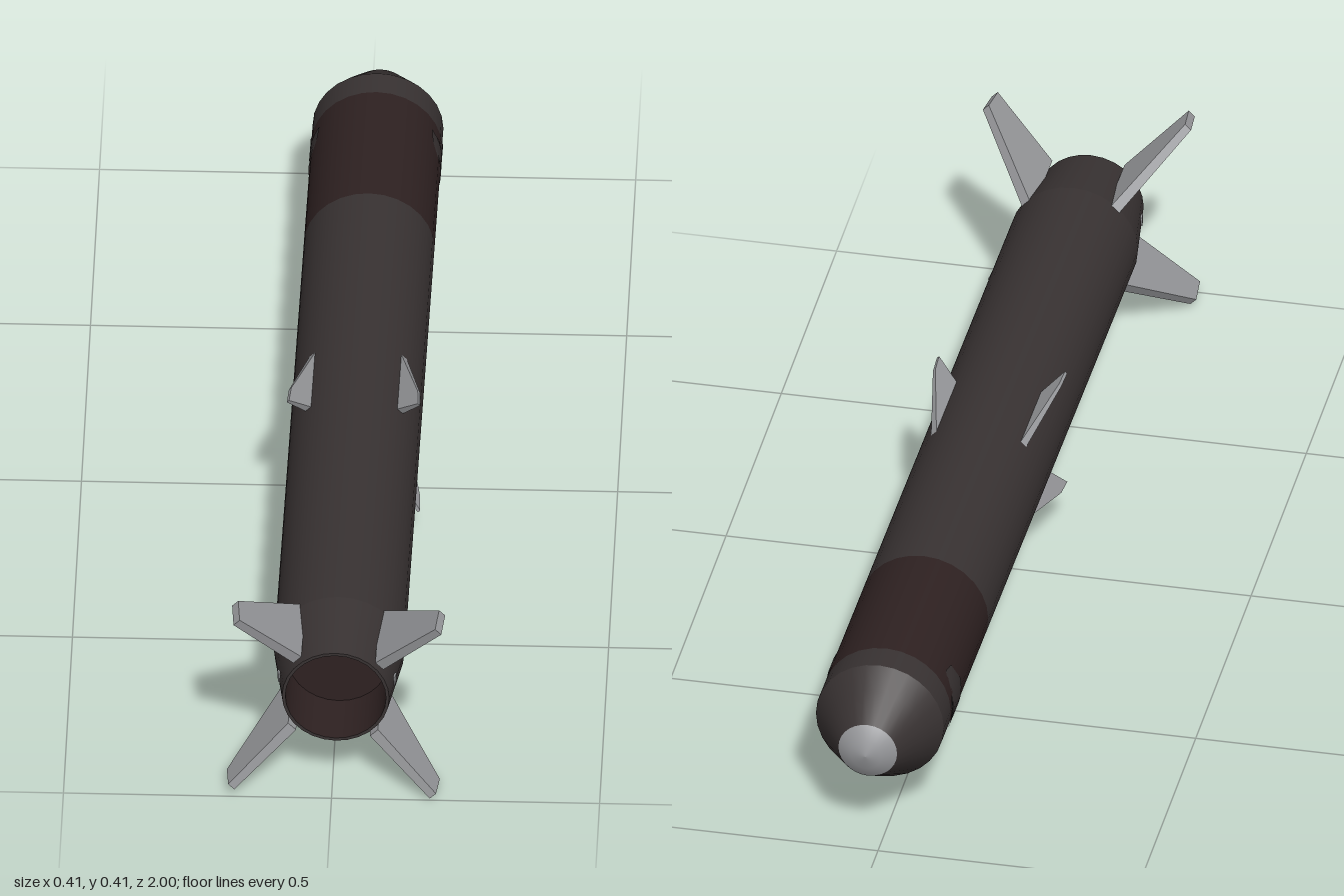
import * as THREE from 'three';

const SIDES = 28;
const R = 0.122; // body radius

export function createModel() {
  const mat = (name, color, side = THREE.FrontSide) => {
    const m = new THREE.MeshStandardMaterial({ color, side });
    m.name = name;
    return m;
  };
  const bodyMat = mat('dark casing', 0x383232);
  const bandMat = mat('brown band', 0x2e2121);
  const greyMat = mat('fin grey', 0x96979a);

  const model = new THREE.Group();
  model.name = 'missile';
  // The body axis is turned very slightly off z
  const hull = new THREE.Group();
  hull.name = 'hull';
  hull.position.set(0.0155, 0.205, 0);
  hull.rotation.y = -0.0095;
  model.add(hull);

  const add = (name, geometry, material) => {
    const mesh = new THREE.Mesh(geometry, material);
    mesh.name = name;
    hull.add(mesh);
    return mesh;
  };

  // Round sections along z, given as [radius, z] from nose to tail
  const turned = (name, profile, material) => {
    const g = new THREE.LatheGeometry(profile.map(([r, z]) => new THREE.Vector2(r, z)), SIDES);
    return add(name, g.rotateX(Math.PI / 2), material);
  };
  turned('noseCap', [[0, -0.998], [0.03, -0.992], [0.056, -0.975]], greyMat);
  turned('noseCone', [[0.056, -0.975], [0.094, -0.915], [R, -0.87]], bodyMat);
  turned('noseCollar', [[R, -0.87], [R, -0.81]], bodyMat);
  turned('darkBand', [[R, -0.81], [R, -0.485]], bandMat);
  turned('mainBody', [[R, -0.485], [R, 0.81]], bodyMat);
  turned('tailTaper', [[R, 0.81], [0.1, 0.96]], bodyMat);
  turned('nozzleRim', [[0.1, 0.96], [0.094, 0.96]], bodyMat);
  turned('nozzleWall', [[0.094, 0.96], [0.094, 0.84]], bandMat);
  turned('nozzleFloor', [[0.094, 0.84], [0, 0.84]], bandMat);

  // Casing-coloured patches cutting into the band: columns of [z, low y, high y]
  const columns = [[-0.71, -0.065, -0.045], [-0.725, -0.067, 0.02], [-0.745, -0.067, 0.06],
    [-0.775, -0.068, 0.065], [-0.8, -0.068, 0.02], [-0.811, -0.068, 0.015]];
  const ROWS = 8;
  const patch = (side) => {
    const pos = [], index = [];
    columns.forEach(([z, lo, hi], i) => {
      for (let j = 0; j <= ROWS; j++) {
        const y = lo + (hi - lo) * j / ROWS, r = R + 0.0015;
        pos.push(side * Math.sqrt(r * r - y * y), y, z);
        if (i && j) {
          const d = i * (ROWS + 1) + j, c = d - 1, b = d - ROWS - 1, a = b - 1;
          if (side > 0) index.push(a, c, b, b, c, d);
          else index.push(a, b, c, b, d, c);
        }
      }
    });
    const g = new THREE.BufferGeometry();
    g.setAttribute('position', new THREE.Float32BufferAttribute(pos, 3));
    g.setIndex(index);
    g.computeVertexNormals();
    return g;
  };

  // Fin from an outline of [radius, z], thinning from root to tip
  const fin = (outline, rootThick, tipThick, offset) => {
    const shape = new THREE.Shape(outline.map(([r, z]) => new THREE.Vector2(r, z)));
    const g = new THREE.ExtrudeGeometry(shape, { depth: 1, bevelEnabled: false });
    const radii = outline.map((p) => p[0]);
    const r0 = Math.min(...radii), r1 = Math.max(...radii);
    const p = g.attributes.position;
    for (let i = 0; i < p.count; i++) {
      const t = (p.getX(i) - r0) / (r1 - r0);
      p.setZ(i, (p.getZ(i) - 0.5) * THREE.MathUtils.lerp(rootThick, tipThick, t) + offset);
    }
    g.computeVertexNormals();
    return g;
  };
  const tailFin = fin([[0.108, 0.79], [0.108, 0.958], [0.266, 1.0], [0.273, 0.945]], 0.021, 0.016, 0.007);
  const midWing = fin([[0.112, -0.045], [0.112, 0.155], [0.173, 0.188], [0.17, 0.145]], 0.016, 0.006, 0);

  // Four of each, set diagonally around the body
  for (let i = 0; i < 4; i++) {
    const a = Math.PI / 4 + i * Math.PI / 2;
    const c = Math.cos(a), s = Math.sin(a);
    const turn = new THREE.Matrix4().makeBasis(
      new THREE.Vector3(c, s, 0), new THREE.Vector3(0, 0, 1), new THREE.Vector3(s, -c, 0));
    add('tailFin' + (i + 1), tailFin, greyMat).applyMatrix4(turn);
    add('midWing' + (i + 1), midWing, greyMat).applyMatrix4(turn);
  }

  // Paired side details
  for (const side of [1, -1]) {
    const label = side > 0 ? 'left' : 'right';
    add(label + 'BandPatch', patch(side), bodyMat);
    const stud = add(label + 'TailStud', new THREE.BoxGeometry(0.006, 0.018, 0.014), greyMat);
    stud.position.set(side * 0.107, 0.006, 0.905);
    stud.rotation.y = side * -0.146;
  }
  return model;
}
